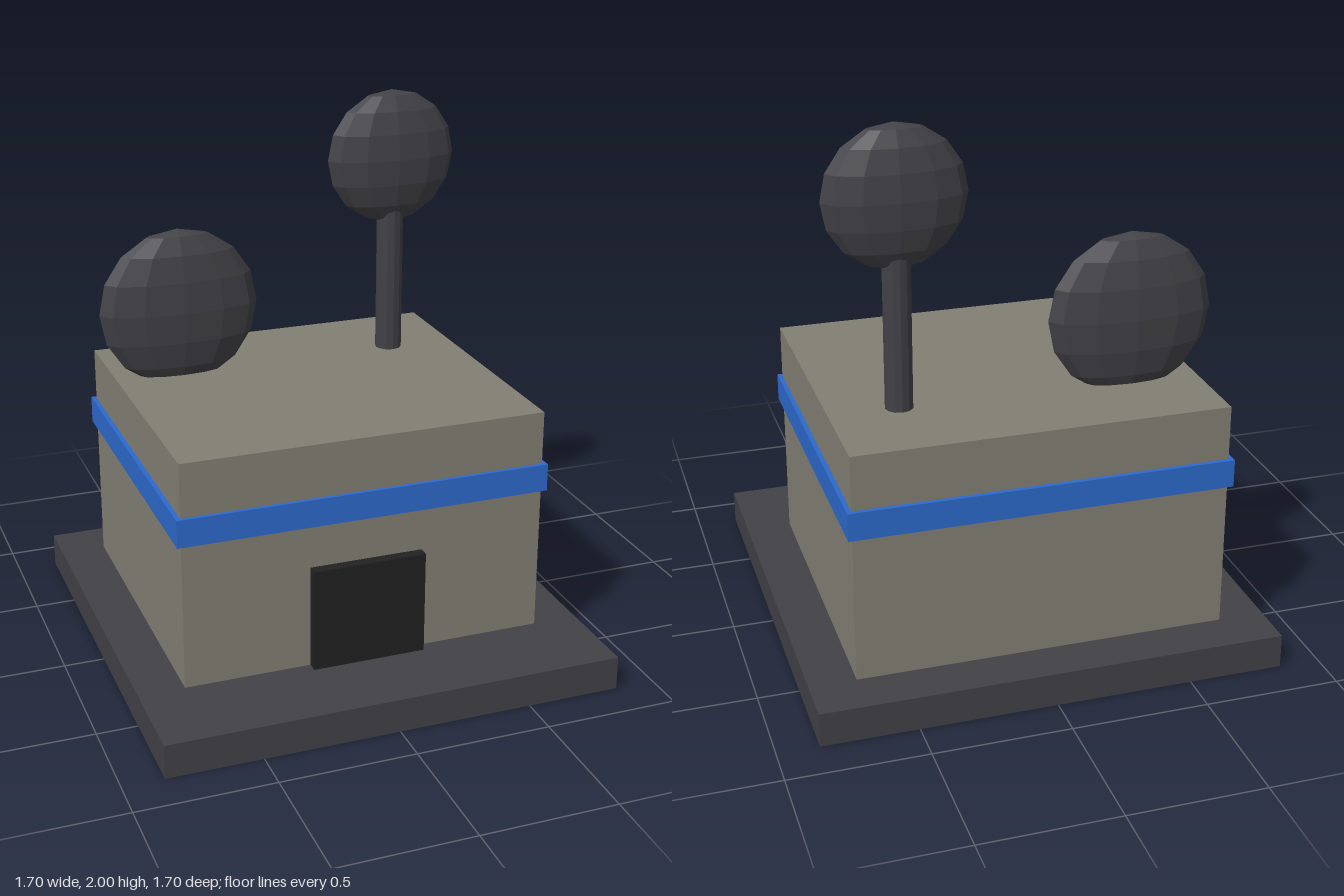
import * as THREE from 'three';

export function createModel() {
  const model = new THREE.Group();
  model.name = 'outpost';

  const paint = (name, color, flatShading = false) => {
    const m = new THREE.MeshStandardMaterial({ color, flatShading });
    m.name = name;
    return m;
  };
  const darkGrey = paint('darkGrey', 0x424146, true);
  const stone = paint('stone', 0x827f73);
  const blue = paint('blue', 0x2d6acc);
  const black = paint('black', 0x222222);

  const add = (name, geometry, material, x, y, z) => {
    const mesh = new THREE.Mesh(geometry, material);
    mesh.name = name;
    mesh.position.set(x, y, z);
    model.add(mesh);
    return mesh;
  };

  // Box given by its half width and its y and z extents
  const block = (name, material, halfX, y0, y1, z0, z1) =>
    add(name, new THREE.BoxGeometry(halfX * 2, y1 - y0, z1 - z0), material,
      0, (y0 + y1) / 2, (z0 + z1) / 2);

  block('base', darkGrey, 0.85, 0, 0.127, -0.85, 0.85);
  block('building', stone, 0.68, 0.127, 0.98, -0.68, 0.515);
  block('band', blue, 0.697, 0.677, 0.78, -0.697, 0.53);
  block('door', black, 0.212, 0.127, 0.515, 0.47, 0.555);

  // Flattened faceted dishes standing on the roof
  const dish = (name, x, y, radius) =>
    add(name, new THREE.SphereGeometry(1, 12, 8).scale(radius, radius, 0.09),
      darkGrey, x, y, -0.34);
  dish('largeDish', -0.425, 1.235, 0.306);
  dish('smallDish', 0.425, 1.745, 0.255);

  // Mast under the small dish
  add('mast', new THREE.CylinderGeometry(0.051, 0.051, 0.57, 12), darkGrey, 0.425, 1.265, -0.34);

  return model;
}
